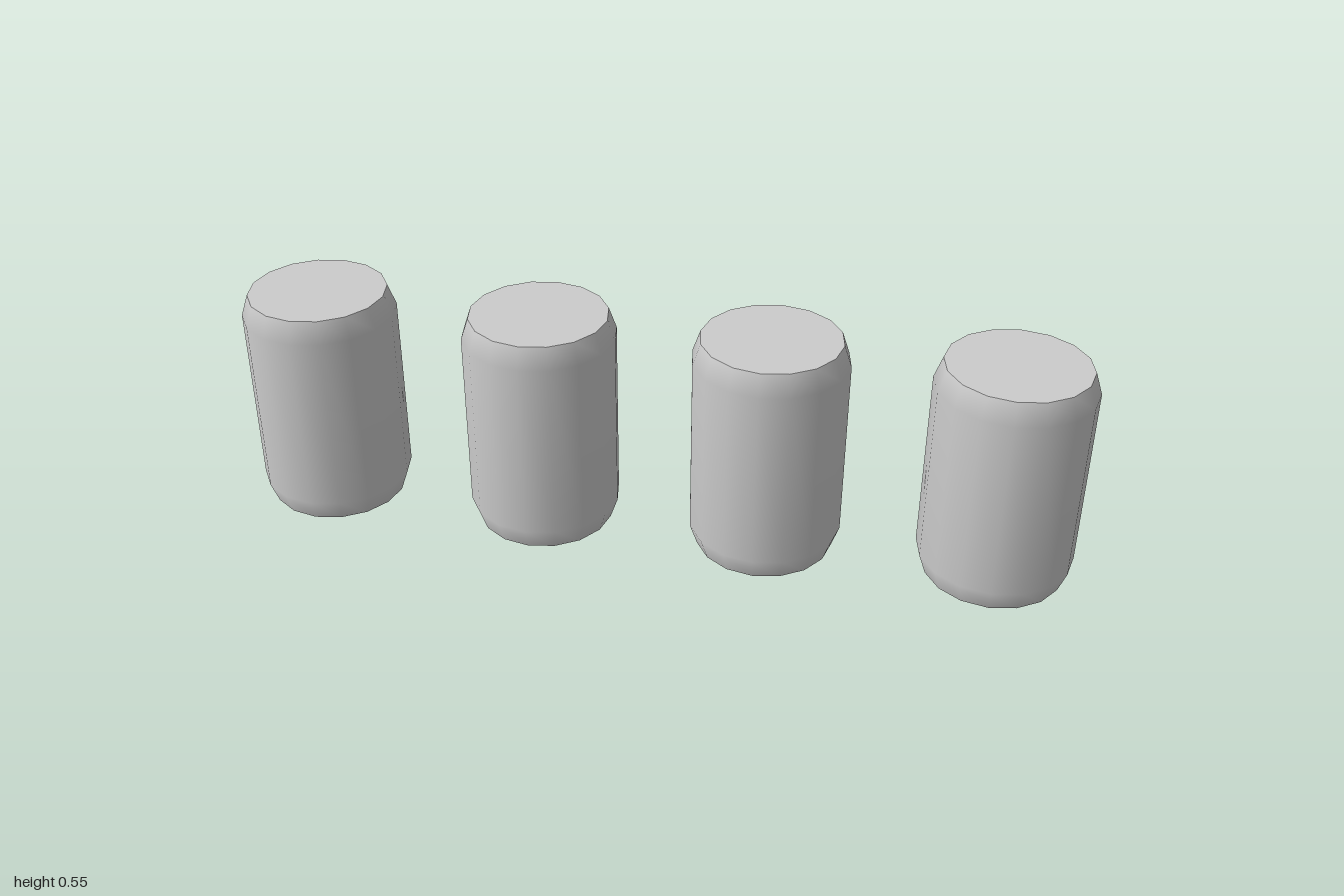
import * as THREE from 'three';

const SIDES = 16;
const RADIUS = 0.182, CAP_RADIUS = 0.164, HEIGHT = 0.545, BEVEL = 0.052;
const SPACING = 0.545;

export function createModel() {
  const model = new THREE.Group();
  const material = new THREE.MeshStandardMaterial({ color: 0xcccccc });

  // Smooth side wall with a sloped bevel at each end
  const profile = [
    [CAP_RADIUS, 0],
    [RADIUS, BEVEL],
    [RADIUS, HEIGHT - BEVEL],
    [CAP_RADIUS, HEIGHT],
  ].map(([r, y]) => new THREE.Vector2(r, y));
  const wallGeometry = new THREE.LatheGeometry(profile, SIDES);

  // Flat end discs, kept separate so their rims stay sharp
  const topGeometry = new THREE.CircleGeometry(CAP_RADIUS, SIDES)
    .rotateX(-Math.PI / 2).translate(0, HEIGHT, 0);
  const bottomGeometry = new THREE.CircleGeometry(CAP_RADIUS, SIDES)
    .rotateX(Math.PI / 2);

  const parts = { wall: wallGeometry, topCap: topGeometry, bottomCap: bottomGeometry };

  // Row of four identical canisters
  for (let i = 0; i < 4; i++) {
    const canister = new THREE.Group();
    canister.name = `canister${i + 1}`;
    for (const [name, geometry] of Object.entries(parts)) {
      const mesh = new THREE.Mesh(geometry, material);
      mesh.name = name;
      canister.add(mesh);
    }
    canister.position.x = (i - 1.5) * SPACING;
    model.add(canister);
  }
  return model;
}
